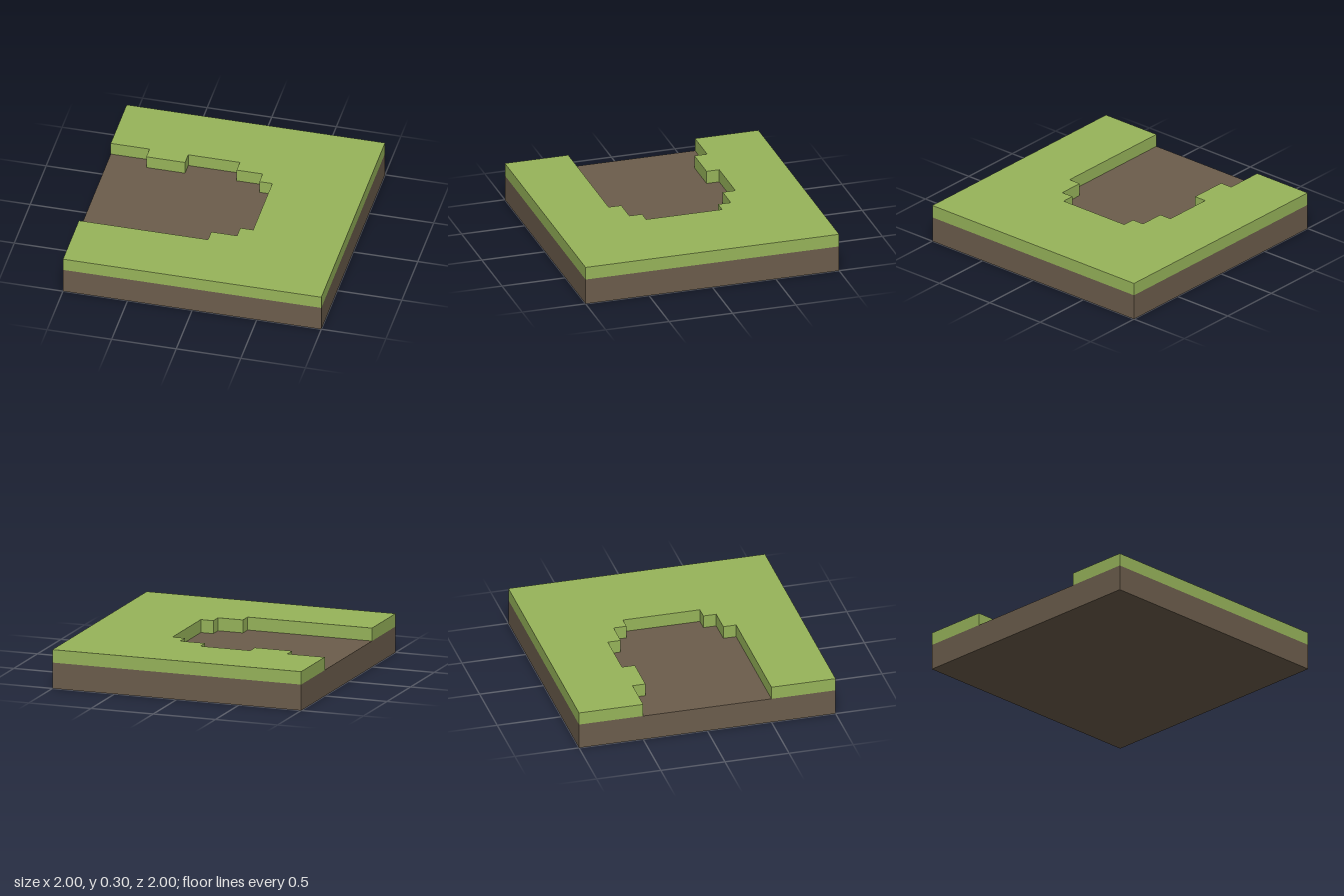
import * as THREE from 'three';

export function createModel() {
  const group = new THREE.Group();
  group.name = 'groundTile';
  const grass = new THREE.MeshStandardMaterial({ color: 0x97b45a });
  grass.name = 'grass green';
  const soil = new THREE.MeshStandardMaterial({ color: 0x6c5d4c });
  soil.name = 'soil brown';

  // Square soil slab
  const base = new THREE.Mesh(new THREE.BoxGeometry(2, 0.2, 2), soil);
  base.name = 'soilBase';
  base.position.y = 0.1;
  group.add(base);

  // Grass layer outline in (x, z), with a stepped path end cut in from the -x edge
  const outline = [
    [-1, -1], [1, -1], [1, 1], [-1, 1],
    [-1, 0.5], [0, 0.5], [0, 0.4], [0.2, 0.4], [0.2, 0.3], [0.3, 0.3],
    [0.3, -0.3], [0.2, -0.3], [0.2, -0.4], [0, -0.4], [0, -0.5],
    [-0.4, -0.5], [-0.4, -0.4], [-0.7, -0.4], [-0.7, -0.5], [-1, -0.5],
  ];
  const shape = new THREE.Shape(outline.map(([x, z]) => new THREE.Vector2(x, z)));
  const layer = new THREE.ExtrudeGeometry(shape, { depth: 0.1, bevelEnabled: false });
  layer.rotateX(Math.PI / 2); // outline y becomes z, depth runs downward
  const turf = new THREE.Mesh(layer, grass);
  turf.name = 'grassLayer';
  turf.position.y = 0.3;
  group.add(turf);

  return group;
}
